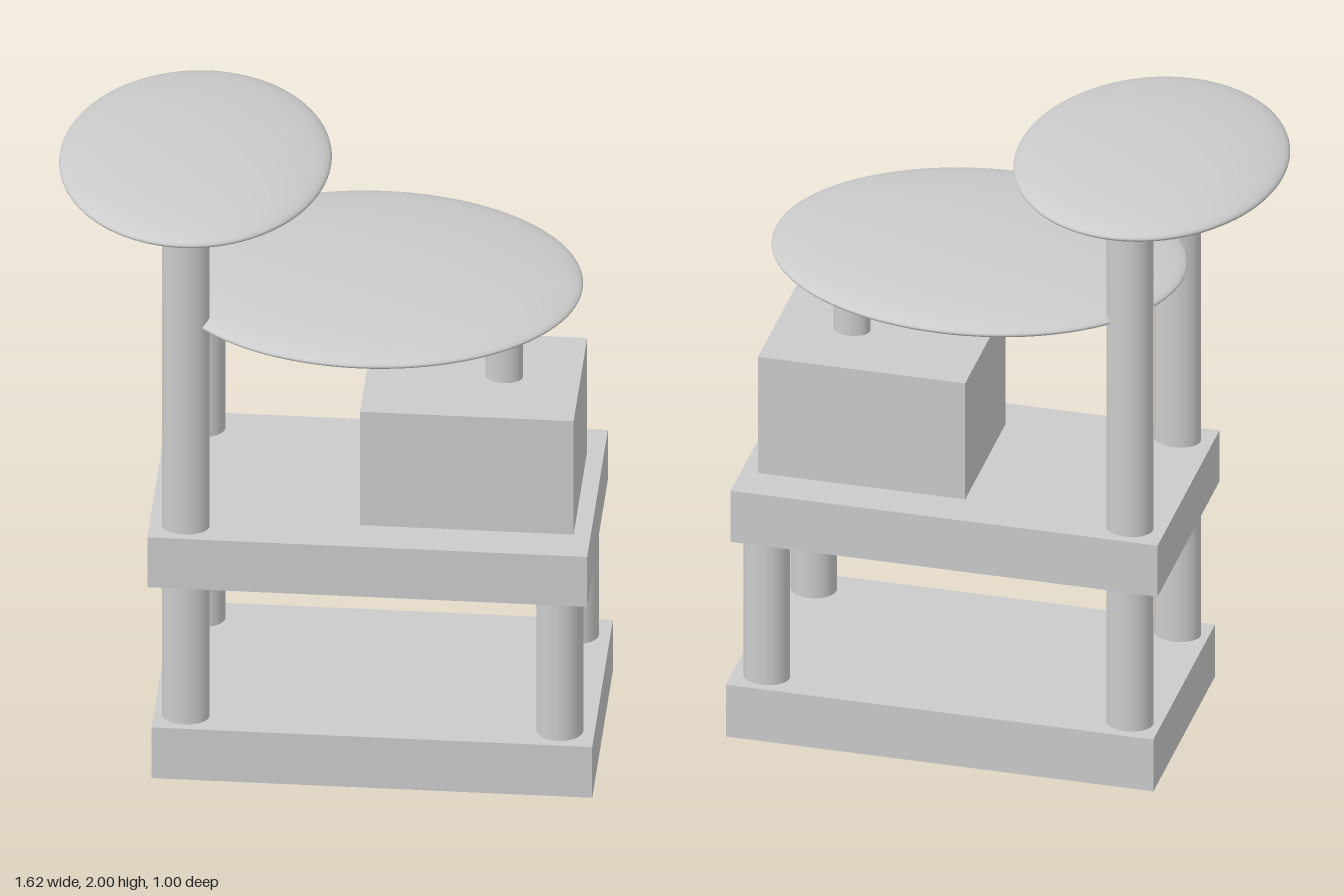
import * as THREE from 'three';

export function createModel() {
  const model = new THREE.Group();
  const material = new THREE.MeshStandardMaterial({ color: 0xcccccc });

  const add = (name, geometry, x, y, z) => {
    const mesh = new THREE.Mesh(geometry, material);
    mesh.name = name;
    mesh.position.set(x, y, z);
    model.add(mesh);
    return mesh;
  };

  // box given by its limits on each axis
  const box = (name, [x0, x1], [y0, y1], [z0, z1]) =>
    add(name, new THREE.BoxGeometry(x1 - x0, y1 - y0, z1 - z0),
      (x0 + x1) / 2, (y0 + y1) / 2, (z0 + z1) / 2);

  // upright post with an oval section
  const post = (name, x, z, y0, y1, rx, rz) =>
    add(name, new THREE.CylinderGeometry(1, 1, y1 - y0, 48), x, (y0 + y1) / 2, z)
      .scale.set(rx, 1, rz);

  // flattened oval cushion
  const pad = (name, x, y, rx, ry, rz) =>
    add(name, new THREE.SphereGeometry(1, 96, 48), x, y, 0.002).scale.set(rx, ry, rz);

  // stacked platforms and the box on top
  box('base', [-0.507, 0.808], [0, 0.177], [-0.361, 0.363]);
  box('middleShelf', [-0.52, 0.793], [0.666, 0.84], [-0.361, 0.363]);
  box('cubbyBox', [0.105, 0.742], [0.84, 1.236], [-0.235, 0.24]);

  // tall posts carry the upper perch, short legs carry the shelf
  post('tallPostFront', -0.412, 0.284, 0.17, 1.93, 0.071, 0.054);
  post('tallPostBack', -0.412, -0.275, 0.17, 1.93, 0.071, 0.058);
  post('shortLegFront', 0.704, 0.274, 0.17, 0.67, 0.07, 0.063);
  post('shortLegBack', 0.704, -0.275, 0.17, 0.67, 0.07, 0.06);
  post('perchStem', 0.515, 0, 1.23, 1.55, 0.056, 0.042);

  // oval perches
  pad('upperPerch', -0.407, 1.945, 0.405, 0.055, 0.498);
  pad('lowerPerch', 0.122, 1.552, 0.627, 0.054, 0.498);

  return model;
}
